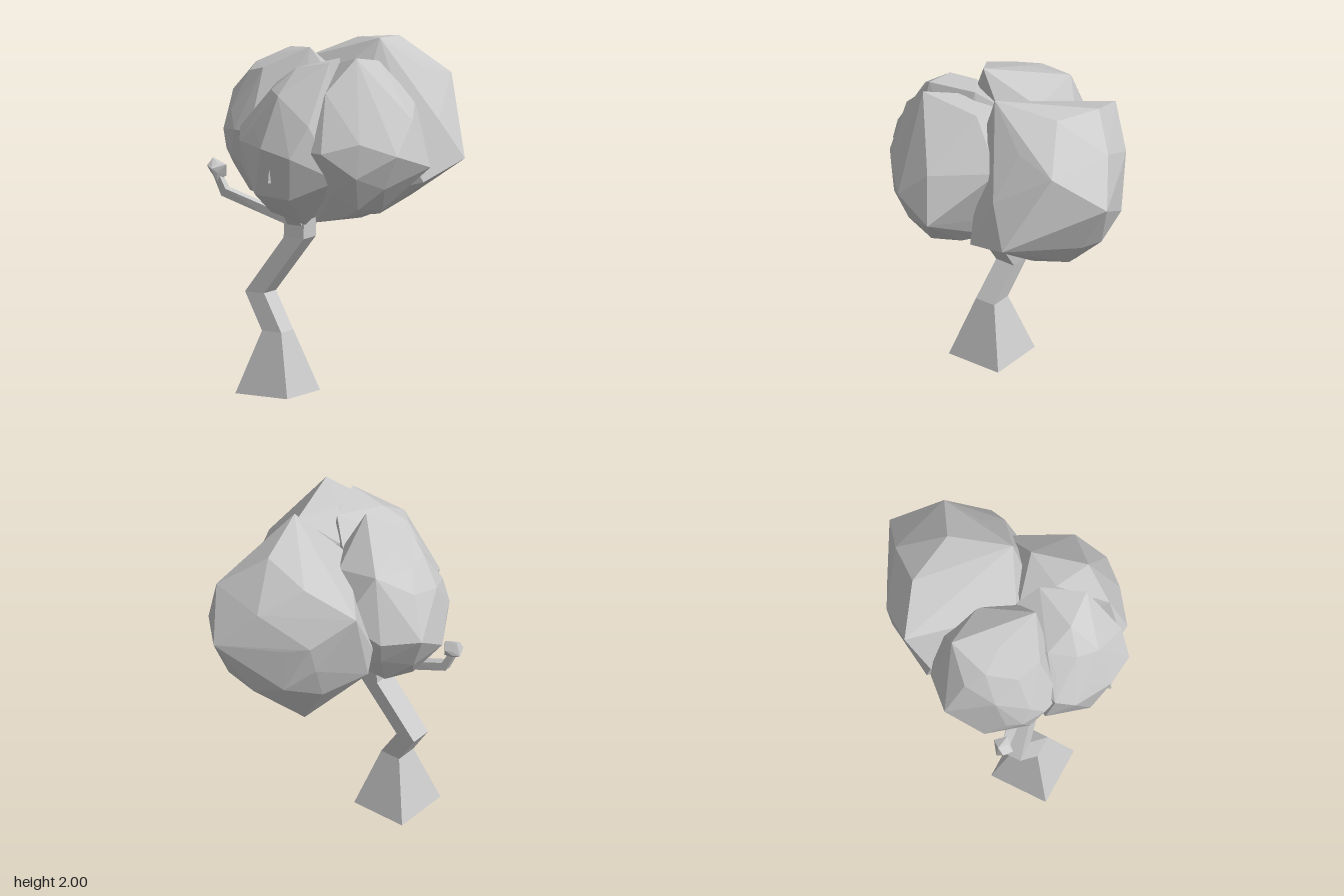
import * as THREE from 'three';
import { ConvexGeometry } from 'three/addons/geometries/ConvexGeometry.js';

const material = new THREE.MeshStandardMaterial({ color: 0xcccccc, flatShading: true });

function addMesh(parent, name, geometry) {
  const mesh = new THREE.Mesh(geometry, material);
  mesh.name = name;
  parent.add(mesh);
  return mesh;
}

// Square-section limb through stations [x, y, z, width].
// side: a fixed axis of the section; level: keep the sections horizontal.
function limb(stations, side, level = false) {
  const pts = stations.map(s => new THREE.Vector3(s[0], s[1], s[2]));
  const pos = [], index = [];
  pts.forEach((p, i) => {
    const t = level ? new THREE.Vector3(0, 1, 0)
      : pts[Math.min(i + 1, pts.length - 1)].clone().sub(pts[Math.max(i - 1, 0)]).normalize();
    const u = t.clone().cross(side).normalize();
    const v = u.clone().cross(t);
    const h = stations[i][3] / 2;
    for (const [a, b] of [[-1, -1], [-1, 1], [1, 1], [1, -1]]) {
      pos.push(...p.clone().addScaledVector(u, a * h).addScaledVector(v, b * h).toArray());
    }
    if (i === 0) return;
    for (let k = 0; k < 4; k++) {
      const a = (i - 1) * 4 + k, b = (i - 1) * 4 + (k + 1) % 4;
      index.push(a, b, b + 4, a, b + 4, a + 4);
    }
  });
  const e = (pts.length - 1) * 4;
  index.push(0, 2, 1, 0, 3, 2, e, e + 1, e + 2, e, e + 2, e + 3);
  const g = new THREE.BufferGeometry();
  g.setAttribute('position', new THREE.Float32BufferAttribute(pos, 3));
  g.setIndex(index);
  const flat = g.toNonIndexed();
  flat.computeVertexNormals();
  return flat;
}

// Faceted leaf mass: a low-poly ellipsoid stretched out to a few corner points.
function leafMass(center, radii, corners) {
  const p = new THREE.IcosahedronGeometry(1, 1).getAttribute('position');
  const unique = new Map();
  for (let i = 0; i < p.count; i++) {
    const v = new THREE.Vector3().fromBufferAttribute(p, i);
    unique.set(v.toArray().map(n => Math.round(n * 1000)).join(), v);
  }
  const c = new THREE.Vector3(...center), r = new THREE.Vector3(...radii);
  const points = [...unique.values()].map(v => v.multiply(r).add(c));
  corners.forEach(q => points.push(new THREE.Vector3(...q)));
  return new ConvexGeometry(points);
}

export function createModel() {
  const tree = new THREE.Group();
  tree.name = 'tree';
  const X = new THREE.Vector3(1, 0, 0), Z = new THREE.Vector3(0, 0, 1);

  // Crooked trunk with a flared foot
  addMesh(tree, 'trunk', limb([
    [-0.22, 0, 0.347, 0.343], [-0.22, 0.35, 0.347, 0.127], [-0.357, 0.555, 0.31, 0.125],
    [-0.12, 0.88, 0.275, 0.13], [-0.12, 1.0, 0.265, 0.13],
  ], Z, true));

  // Branches reaching into the leaf masses
  const branches = new THREE.Group();
  branches.name = 'branches';
  tree.add(branches);
  addMesh(branches, 'backBranch', limb([[-0.12, 0.97, 0.27, 0.1], [-0.04, 1.12, 0.1, 0.08], [0.05, 1.35, -0.1, 0.05]], X));
  addMesh(branches, 'frontBranch', limb([[-0.12, 0.97, 0.28, 0.1], [-0.1, 1.1, 0.42, 0.08], [-0.04, 1.3, 0.6, 0.05]], X));
  addMesh(branches, 'rightBranch', limb([[-0.12, 0.97, 0.27, 0.09], [-0.22, 1.1, 0.24, 0.07], [-0.28, 1.3, 0.22, 0.05]], Z));
  addMesh(branches, 'leftBranch', limb([[-0.12, 0.98, 0.28, 0.06], [0.08, 1.09, 0.3, 0.05], [0.25, 1.25, 0.3, 0.04]], Z));
  addMesh(branches, 'sideBranch', limb([
    [-0.12, 0.96, 0.28, 0.06], [-0.3, 1.015, 0.31, 0.05], [-0.565, 1.105, 0.35, 0.05], [-0.62, 1.22, 0.36, 0.035],
  ], Z));
  const twig = addMesh(branches, 'twigTip', new THREE.ConeGeometry(0.012, 0.09, 4));
  twig.position.set(-0.03, 1.31, 0.735);

  // Leaf masses
  const crown = new THREE.Group();
  crown.name = 'crown';
  tree.add(crown);
  addMesh(crown, 'backLeaves', leafMass([0.04, 1.43, -0.29], [0.41, 0.43, 0.38], [
    [0.2, 1.54, -0.77], [0.23, 2.0, -0.01], [0.13, 1.95, -0.37], [-0.18, 1.9, -0.43], [0.0, 1.76, -0.63],
    [0.59, 1.3, -0.33], [0.38, 1.74, -0.52], [0.35, 1.8, -0.27], [0.5, 1.53, -0.2], [0.5, 1.2, -0.04],
    [-0.47, 1.77, -0.33], [-0.3, 1.6, -0.53], [-0.46, 1.47, -0.17], [-0.45, 1.31, -0.2], [-0.05, 1.36, -0.62],
    [-0.1, 0.92, -0.33], [-0.08, 0.95, -0.02], [0.17, 0.98, -0.1], [0.22, 1.25, -0.61], [0.2, 1.7, 0.1],
    [-0.03, 1.75, 0.15], [-0.05, 1.05, 0.1],
  ]));
  addMesh(crown, 'rightLeaves', leafMass([-0.31, 1.47, 0.18], [0.3, 0.42, 0.34], [
    [-0.66, 1.5, 0.02], [-0.62, 1.33, 0.25], [-0.55, 1.74, 0.09], [-0.4, 1.88, -0.07], [-0.05, 1.965, 0.28],
    [-0.28, 1.6, -0.21], [-0.12, 1.8, -0.05], [-0.27, 1.85, 0.42], [-0.52, 1.48, 0.44], [-0.28, 1.5, 0.55],
    [-0.4, 1.5, 0.52], [-0.48, 1.2, 0.3], [-0.22, 1.02, 0.22], [-0.5, 1.5, -0.15], [0.0, 1.8, 0.15],
  ]));
  addMesh(crown, 'frontLeaves', leafMass([-0.03, 1.43, 0.42], [0.28, 0.41, 0.31], [
    [0.2, 1.93, 0.47], [-0.01, 1.885, 0.48], [-0.23, 1.68, 0.5], [-0.36, 1.3, 0.5], [-0.34, 1.53, 0.55],
    [-0.28, 1.47, 0.65], [-0.02, 1.75, 0.66], [-0.07, 1.46, 0.765], [0.13, 1.42, 0.775], [0.2, 1.6, 0.69],
    [0.31, 1.28, 0.55], [-0.16, 1.18, 0.68], [0.08, 1.17, 0.7], [0.06, 1.0, 0.5], [-0.2, 1.04, 0.45],
    [0.11, 1.91, 0.22], [0.0, 1.8, 0.13],
  ]));
  addMesh(crown, 'leftLeaves', leafMass([0.29, 1.42, 0.28], [0.27, 0.39, 0.33], [
    [0.34, 1.96, 0.41], [0.28, 1.89, 0.08], [0.38, 1.64, -0.14], [0.66, 1.33, 0.14], [0.58, 1.6, 0.2],
    [0.6, 1.42, 0.39], [0.45, 1.5, 0.55], [0.28, 1.45, 0.685], [0.21, 1.45, 0.68], [0.25, 1.78, 0.59],
    [0.5, 1.5, 0.0], [0.3, 1.06, 0.45], [0.1, 1.01, 0.45], [0.35, 1.18, 0.02], [0.2, 1.05, 0.1],
    [0.03, 1.8, 0.14], [0.16, 1.9, 0.3], [0.01, 1.22, 0.15], [0.03, 1.08, 0.27],
  ]));

  // Small bud cluster on the side branch
  addMesh(crown, 'budLeaves', leafMass([-0.61, 1.23, 0.36], [0.04, 0.045, 0.045], [
    [-0.665, 1.21, 0.35], [-0.645, 1.29, 0.35], [-0.55, 1.26, 0.36], [-0.6, 1.165, 0.38], [-0.61, 1.24, 0.425],
    [-0.6, 1.25, 0.3], [-0.66, 1.25, 0.39], [-0.57, 1.19, 0.33],
  ]));
  return tree;
}
